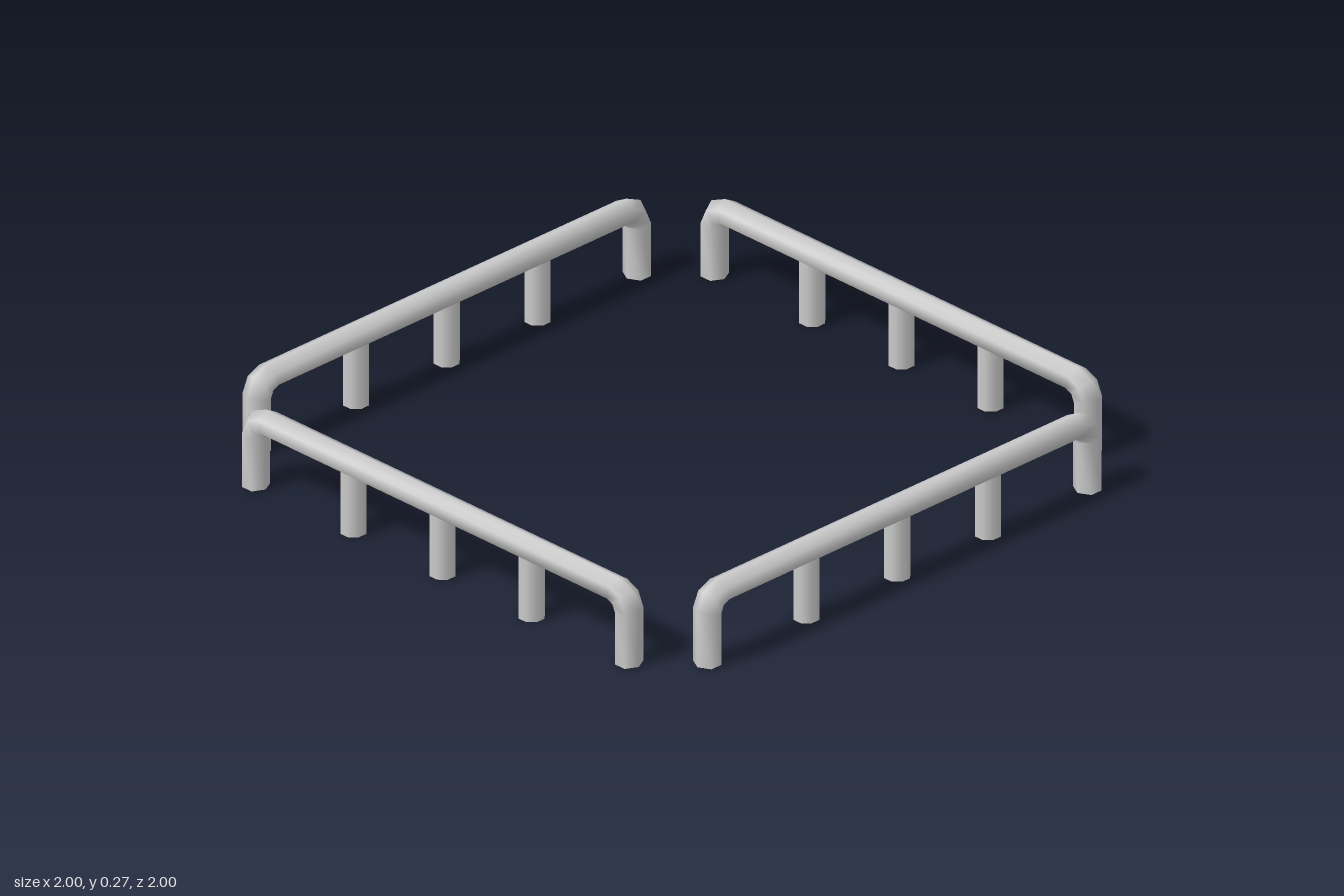
import * as THREE from 'three';

const SIDES = 6;
const HALF_DEPTH = 0.041;  // tube half size in the plane of the bend
const HALF_WIDTH = 0.039;  // tube half size across that plane

// Sweep a six-sided section along a flat path, with mitred joints and closed feet
function bentTube(path) {
  const positions = [], index = [];
  const last = path.length - 1;
  const addRing = (i) => {
    const p = path[i];
    const before = p.clone().sub(path[Math.max(i - 1, 0)]).normalize();
    const after = path[Math.min(i + 1, last)].clone().sub(p).normalize();
    const t = before.clone().add(after).normalize();
    const mitre = 1 / Math.max(t.dot(i === 0 ? after : before), 0.5);
    for (let j = 0; j < SIDES; j++) {
      const a = (j / SIDES) * Math.PI * 2;
      const d = Math.cos(a) * HALF_DEPTH * mitre;
      const w = Math.sin(a) / Math.sin(Math.PI / 3) * HALF_WIDTH;
      positions.push(p.x - t.y * d, p.y + t.x * d, w);
    }
  };
  for (let i = 0; i <= last; i++) addRing(i);
  for (let i = 0; i < last; i++) {
    for (let j = 0; j < SIDES; j++) {
      const a = i * SIDES + j, b = i * SIDES + (j + 1) % SIDES;
      index.push(a, b, a + SIDES, b, b + SIDES, a + SIDES);
    }
  }
  // Feet caps on their own vertices so the rim stays sharp
  for (const end of [0, last]) {
    const base = positions.length / 3;
    addRing(end);
    for (let j = 1; j < SIDES - 1; j++) {
      if (end === 0) index.push(base, base + j + 1, base + j);
      else index.push(base, base + j, base + j + 1);
    }
  }
  const geometry = new THREE.BufferGeometry();
  geometry.setAttribute('position', new THREE.Float32BufferAttribute(positions, 3));
  geometry.setIndex(index);
  geometry.computeVertexNormals();
  return geometry;
}

export function createModel() {
  const model = new THREE.Group();
  model.name = 'railingSquare';
  const material = new THREE.MeshStandardMaterial({ color: 0xcccccc });

  // Half of the rail's centre line, mirrored to make both legs
  const half = [[-0.795, 0], [-0.795, 0.178], [-0.779, 0.214], [-0.743, 0.23]];
  const path = [
    ...half.map(([x, y]) => new THREE.Vector2(x, y)),
    ...half.slice().reverse().map(([x, y]) => new THREE.Vector2(-x, y)),
  ];
  const railGeometry = bentTube(path);

  // Upright post, eight sides with a flat facing outward
  const postHeight = 0.22;
  const postGeometry = new THREE.CylinderGeometry(0.042, 0.042, postHeight, 8);
  postGeometry.rotateY(Math.PI / 8);
  postGeometry.translate(0, postHeight / 2, 0);

  // Four identical railings around the square
  ['front', 'left', 'back', 'right'].forEach((side, k) => {
    const railing = new THREE.Group();
    railing.name = side + 'Railing';

    const rail = new THREE.Mesh(railGeometry, material);
    rail.name = 'bentRail';
    rail.position.z = 0.96;
    railing.add(rail);

    for (const x of [-0.38, 0, 0.38]) {
      const post = new THREE.Mesh(postGeometry, material);
      post.name = 'post';
      post.position.set(x, 0, 0.96);
      railing.add(post);
    }
    railing.rotation.y = (k * Math.PI) / 2;
    model.add(railing);
  });
  return model;
}
